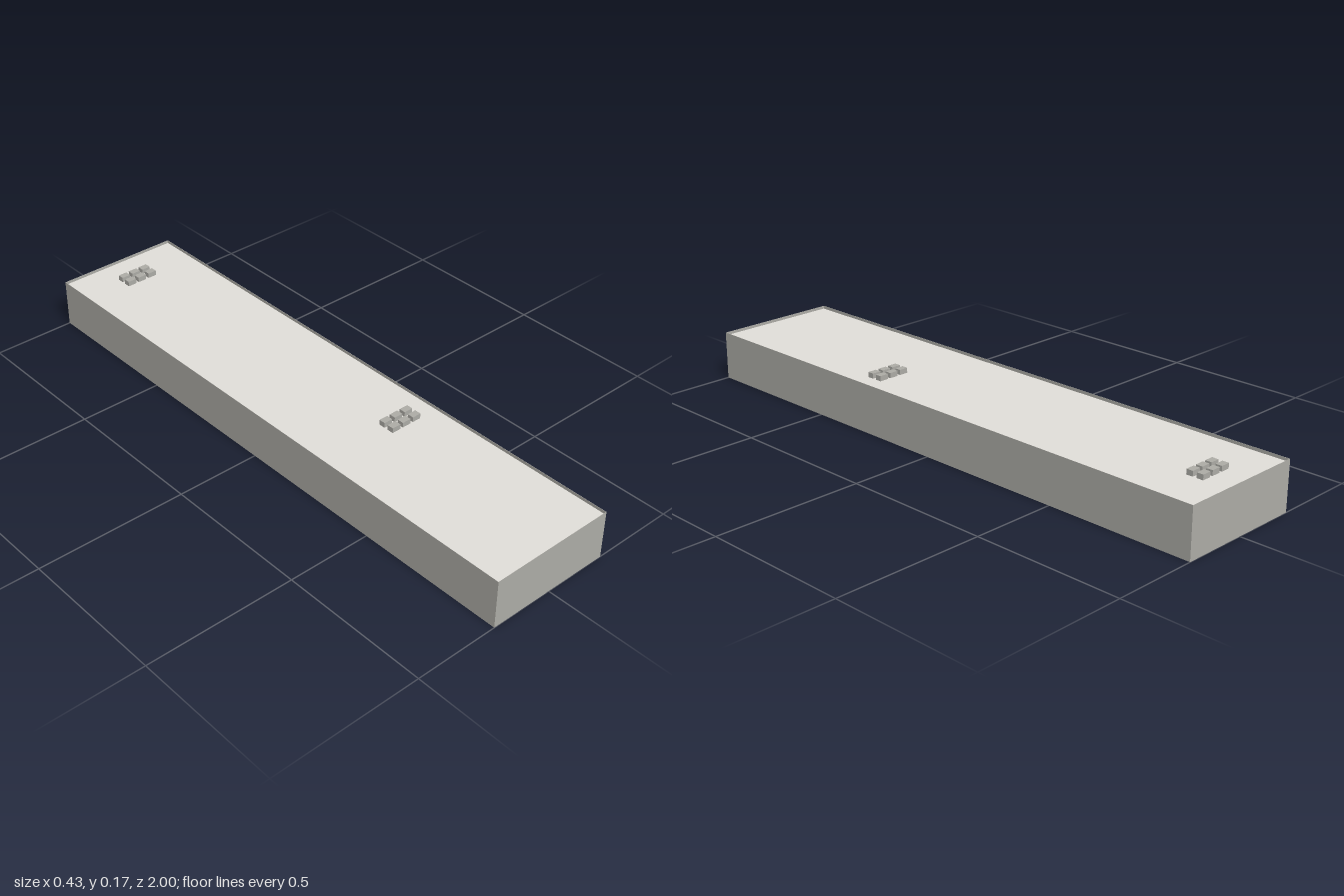
import * as THREE from 'three';

const WIDTH = 0.434, LENGTH = 2, HEIGHT = 0.163;
const RIM = 0.001;    // thickness of the side walls
const DECK_Y = 0.153; // deck surface, slightly below the rim

export function createModel() {
  const group = new THREE.Group();
  const wallGray = new THREE.MeshStandardMaterial({ name: 'wall gray', color: 0xaeada7 });
  const deckGray = new THREE.MeshStandardMaterial({ name: 'deck light gray', color: 0xe2dfda });

  const add = (name, geometry, material, x, y, z, parent = group) => {
    const mesh = new THREE.Mesh(geometry, material);
    mesh.name = name;
    mesh.position.set(x, y, z);
    parent.add(mesh);
  };

  // Thin outer wall running all the way round
  const rectangle = (target, w, l) => target
    .moveTo(-w / 2, -l / 2).lineTo(w / 2, -l / 2)
    .lineTo(w / 2, l / 2).lineTo(-w / 2, l / 2).closePath();
  const outline = rectangle(new THREE.Shape(), WIDTH, LENGTH);
  outline.holes.push(rectangle(new THREE.Path(), WIDTH - 2 * RIM, LENGTH - 2 * RIM));
  const wall = new THREE.ExtrudeGeometry(outline, { depth: HEIGHT, bevelEnabled: false });
  wall.rotateX(-Math.PI / 2);
  add('outerWall', wall, wallGray, 0, 0, 0);

  // Solid light core: its top is the deck, its bottom the underside
  const core = new THREE.BoxGeometry(WIDTH - 2 * RIM, DECK_Y, LENGTH - 2 * RIM);
  add('deckCore', core, deckGray, 0, DECK_Y / 2, 0);

  // Clusters of 3 x 2 small blocks standing on the deck
  const blockHeight = 0.17 - DECK_Y;
  const block = new THREE.BoxGeometry(0.031, blockHeight, 0.022);
  const addCluster = (name, x, z) => {
    const cluster = new THREE.Group();
    cluster.name = name;
    cluster.position.set(x, DECK_Y, z);
    for (const row of [-0.5, 0.5]) {
      for (const column of [-1, 0, 1]) {
        add('block', block, wallGray, column * 0.0415, blockHeight / 2, row * 0.035, cluster);
      }
    }
    group.add(cluster);
  };
  addCluster('rearBlocks', -0.004, -0.879);
  addCluster('frontBlocks', 0.092, 0.311);

  return group;
}
